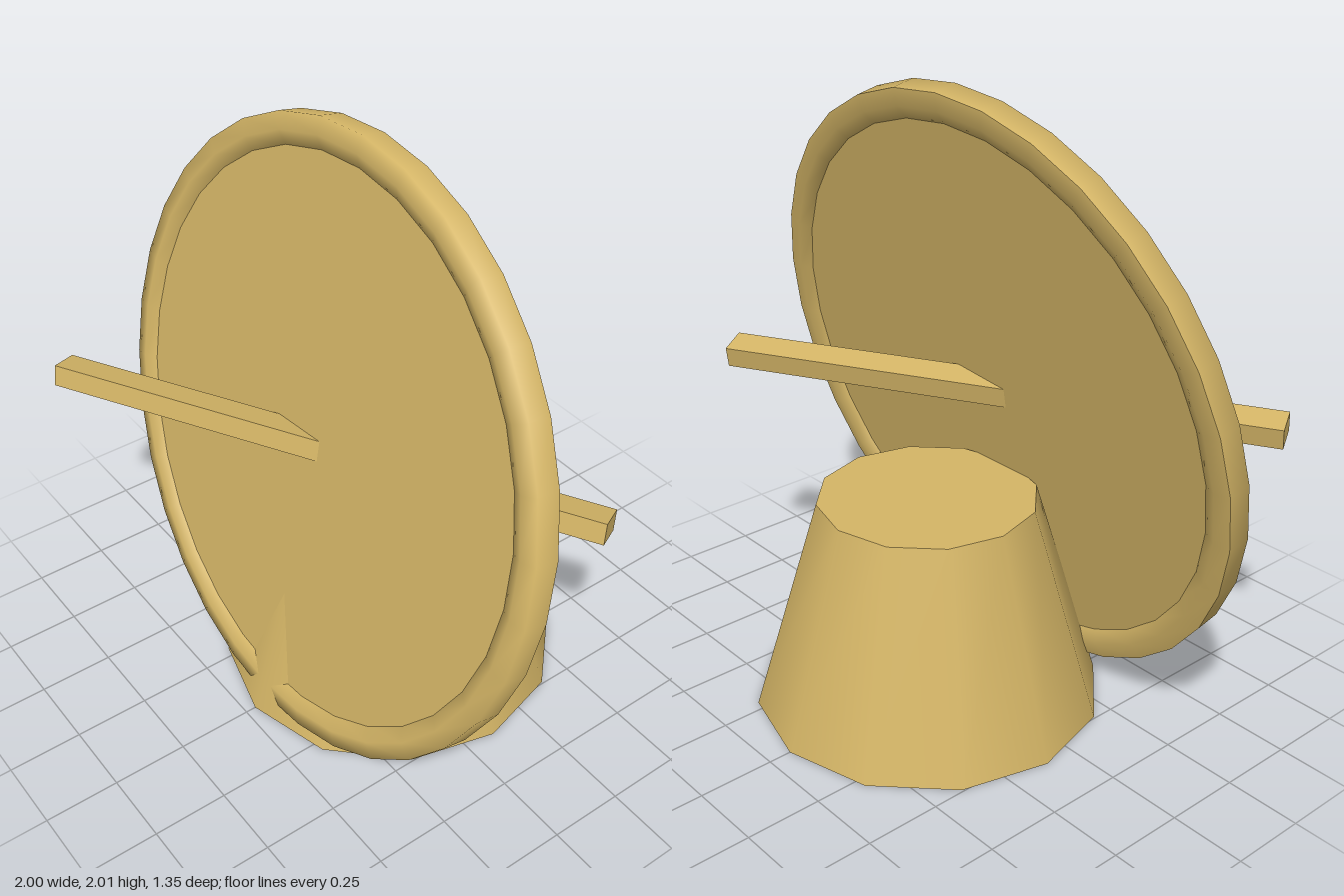
import * as THREE from 'three';

const TILT = THREE.MathUtils.degToRad(-12);
const SEGMENTS = 32;

export function createModel() {
  const model = new THREE.Group();
  const brass = new THREE.MeshStandardMaterial({ color: 0xd4b566 });

  const add = (parent, name, geometry) => {
    const mesh = new THREE.Mesh(geometry, brass);
    mesh.name = name;
    parent.add(mesh);
    return mesh;
  };

  // Twelve-sided tapered base, one corner facing forward through the dial
  const base = add(model, 'base', new THREE.CylinderGeometry(0.355, 0.57, 0.715, 12));
  base.position.set(0, 0.3575, -0.105);

  // Dial assembly leaning back
  const dial = new THREE.Group();
  dial.name = 'dial';
  dial.position.set(0, 1.02, 0.18);
  dial.rotation.x = TILT;
  model.add(dial);

  // Flat plate inside the rim
  const plate = add(dial, 'plate', new THREE.CylinderGeometry(0.93, 0.93, 0.055, SEGMENTS));
  plate.rotation.x = Math.PI / 2;

  // Rounded rim with a flat outer edge
  const profile = [
    [1, -0.04], [1, 0.04], [0.945, 0.048], [0.895, 0.025],
    [0.895, -0.025], [0.945, -0.048], [1, -0.04],
  ].map(([r, y]) => new THREE.Vector2(r, y));
  const rim = add(dial, 'rim', new THREE.LatheGeometry(profile, SEGMENTS));
  rim.rotation.x = Math.PI / 2;

  // Level bar passing diagonally through the plate
  const bar = add(model, 'bar', new THREE.BoxGeometry(1.86, 0.07, 0.1));
  bar.position.set(0, 1.005, 0.175);
  bar.rotation.set(TILT, THREE.MathUtils.degToRad(28.8), 0, 'YXZ');

  return model;
}
